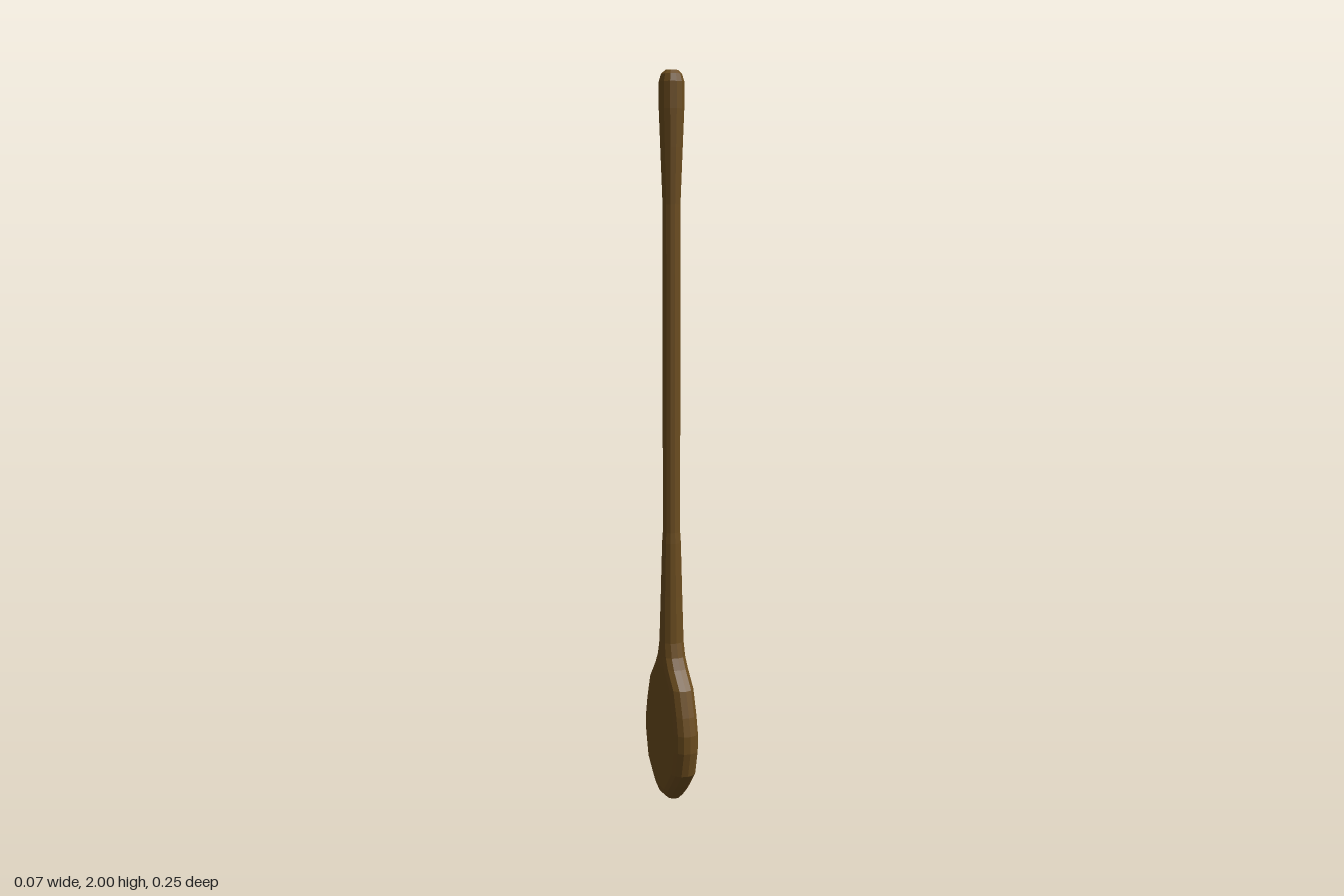
import * as THREE from 'three';

// Cross-sections from bowl tip to handle end:
// [height, half thickness (x), half width (z), hollow depth]
const SECTIONS = [
  [0, 0.018, 0.033, 0],
  [0.012, 0.03, 0.044, 0],
  [0.03, 0.035, 0.06, 0],
  [0.05, 0.035, 0.078, 0.022],
  [0.09, 0.035, 0.11, 0.038],
  [0.16, 0.035, 0.126, 0.048],
  [0.21, 0.035, 0.127, 0.05],
  [0.26, 0.035, 0.117, 0.045],
  [0.33, 0.035, 0.097, 0.028],
  [0.38, 0.035, 0.06, 0],
  [0.41, 0.034, 0.044, 0],
  [0.45, 0.033, 0.035, 0],
  [0.58, 0.03, 0.03, 0],
  [0.73, 0.026, 0.026, 0],
  [0.76, 0.024, 0.024, 0],
  [1.65, 0.024, 0.024, 0],
  [1.8, 0.03, 0.03, 0],
  [1.9, 0.034, 0.034, 0],
  [1.97, 0.034, 0.034, 0],
  [1.99, 0.028, 0.028, 0],
  [2, 0.017, 0.017, 0],
];
const FRONT = 8; // strips across the hollow

// Round-ended section: dished face on +x, flat face on -x
function ring([y, r, w, depth]) {
  const flat = Math.max(w - r, 0);
  const points = [];
  for (let i = 0; i <= FRONT; i++) {
    const t = (2 * i) / FRONT - 1;
    points.push([r - depth * (1 - t ** 4), y, t * flat]);
  }
  const arc = (from, to, offset) => {
    for (let deg = from; deg <= to; deg += 30) {
      const a = THREE.MathUtils.degToRad(deg);
      points.push([r * Math.cos(a), y, r * Math.sin(a) + offset]);
    }
  };
  arc(30, 180, flat);
  arc(180, 330, -flat);
  return points;
}

// Skin the sections and close both ends
function loft(sections) {
  const rings = sections.map(ring);
  const n = rings[0].length;
  const positions = rings.flat(2);
  const index = [];
  for (let k = 0; k < rings.length - 1; k++) {
    for (let j = 0; j < n; j++) {
      const a = k * n + j;
      const b = k * n + ((j + 1) % n);
      index.push(a, a + n, b, b, a + n, b + n);
    }
  }
  const bottom = positions.length / 3;
  const top = bottom + 1;
  const last = (rings.length - 1) * n;
  positions.push(0, sections[0][0], 0, 0, sections.at(-1)[0], 0);
  for (let j = 0; j < n; j++) {
    const next = (j + 1) % n;
    index.push(bottom, j, next, top, last + next, last + j);
  }
  const geometry = new THREE.BufferGeometry();
  geometry.setAttribute('position', new THREE.Float32BufferAttribute(positions, 3));
  geometry.setIndex(index);
  geometry.computeVertexNormals();
  return geometry;
}

export function createModel() {
  const group = new THREE.Group();
  group.name = 'woodenSpoon';
  const wood = new THREE.MeshStandardMaterial({ color: 0x6b4c1e, flatShading: true });
  const spoon = new THREE.Mesh(loft(SECTIONS), wood);
  spoon.name = 'bowlAndHandle';
  group.add(spoon);
  return group;
}
